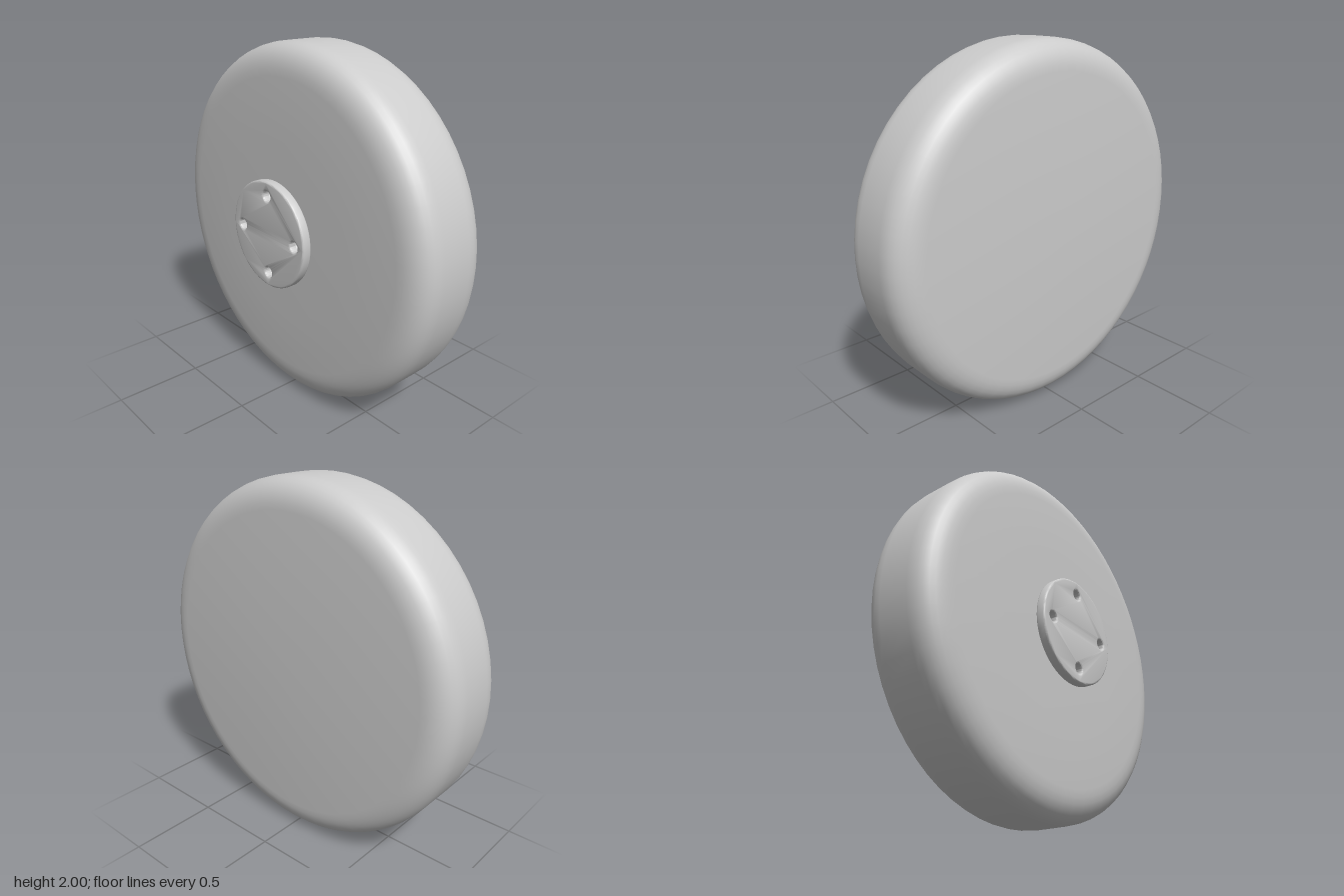
import * as THREE from 'three';
import { toCreasedNormals } from 'three/addons/utils/BufferGeometryUtils.js';

const V = (x, y) => new THREE.Vector2(x, y);

export function createModel() {
  const group = new THREE.Group();
  const material = new THREE.MeshStandardMaterial({ color: 0xcccccc });
  const thin = new THREE.MeshStandardMaterial({ color: 0xcccccc, side: THREE.DoubleSide });

  const add = (name, geometry, mat = material) => {
    const mesh = new THREE.Mesh(geometry, mat);
    mesh.name = name;
    group.add(mesh);
    return mesh;
  };
  // profile of (radius, z), turned about the wheel axis
  const turned = (points, sides) =>
    toCreasedNormals(new THREE.LatheGeometry(points, sides).rotateX(Math.PI / 2), 0.6);

  // tyre: flat faces with generously rounded shoulders
  const back = new THREE.CubicBezierCurve(V(0.84, -0.29), V(0.93, -0.288), V(1, -0.24), V(1, -0.14));
  const front = new THREE.CubicBezierCurve(V(1, 0.04), V(1, 0.13), V(0.94, 0.18), V(0.83, 0.183));
  add('tyre', turned([V(0, -0.29), ...back.getPoints(8), ...front.getPoints(8), V(0.5, 0.19), V(0, 0.19)], 64));

  // neck joining the tyre to the hub plate
  add('hubNeck', turned([V(0.23, 0.185), V(0.205, 0.2), V(0.195, 0.212), V(0.205, 0.225), V(0.225, 0.24)], 48), thin);

  // hub plate with four bolt holes
  const boltRadius = 0.22, holeRadius = 0.03, bevel = 0.01;
  const bolts = [0, 1, 2, 3].map((i) => {
    const a = (i * Math.PI) / 2;
    return V(Math.cos(a) * boltRadius, Math.sin(a) * boltRadius);
  });
  const disc = new THREE.Shape().absarc(0, 0, 0.3, 0, Math.PI * 2);
  for (const b of bolts) disc.holes.push(new THREE.Path().absarc(b.x, b.y, holeRadius, 0, Math.PI * 2, true));
  const plate = new THREE.ExtrudeGeometry(disc, {
    depth: 0.035, bevelEnabled: true, bevelThickness: bevel, bevelSize: bevel,
    bevelOffset: -bevel, bevelSegments: 3, curveSegments: 32,
  }).translate(0, 0, 0.245);
  add('hubPlate', toCreasedNormals(plate, 0.6));

  // tapered cups closing the bolt holes behind the plate
  const cup = turned([V(0, 0.212), V(0.016, 0.212), V(0.03, 0.25)], 16);
  for (const b of bolts) add('boltCup', cup, thin).position.set(b.x, b.y, 0);

  for (const part of group.children) part.position.y += 1;
  return group;
}
